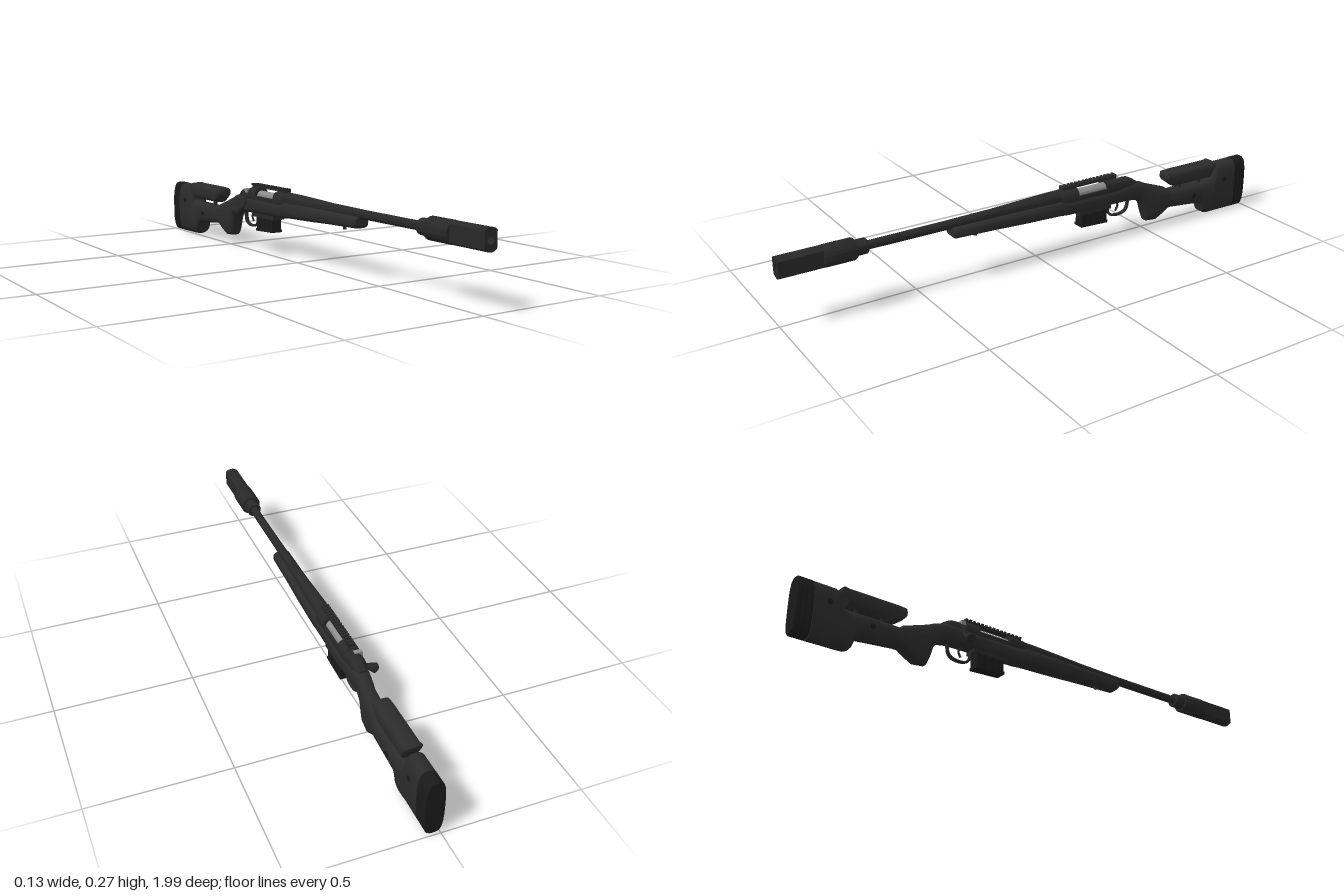
import * as THREE from 'three';
import { toCreasedNormals } from 'three/addons/utils/BufferGeometryUtils.js';

const material = (name, color) => {
  const m = new THREE.MeshStandardMaterial({ color });
  m.name = name;
  return m;
};

// Skin through rounded cross-sections: [z, bottom, top, halfWidth], listed front to back
function loft(stations, power = 3, sides = 28) {
  const pos = [], index = [];
  const bend = v => Math.sign(v) * Math.pow(Math.abs(v), 2 / power);
  for (const [z, lo, hi, hw] of stations) {
    for (let j = 0; j < sides; j++) {
      const a = (j / sides) * Math.PI * 2;
      pos.push(hw * bend(Math.cos(a)), (lo + hi) / 2 + (hi - lo) / 2 * bend(Math.sin(a)), z);
    }
  }
  const rows = stations.length;
  for (let i = 0; i < rows - 1; i++) {
    for (let j = 0; j < sides; j++) {
      const k = (j + 1) % sides;
      const a = i * sides + j, b = i * sides + k, c = a + sides, d = b + sides;
      index.push(a, c, b, b, c, d);
    }
  }
  const last = (rows - 1) * sides;
  for (let j = 1; j < sides - 1; j++) {
    index.push(0, j, j + 1, last, last + j + 1, last + j);
  }
  const g = new THREE.BufferGeometry();
  g.setAttribute('position', new THREE.Float32BufferAttribute(pos, 3));
  g.setIndex(index);
  return toCreasedNormals(g, 0.7);
}

// Turned part along z: [radius, z] pairs, listed back to front
function turned(profile, sides = 28) {
  const g = new THREE.LatheGeometry(profile.map(([r, z]) => new THREE.Vector2(r, z)), sides);
  return toCreasedNormals(g.rotateX(Math.PI / 2), 0.6);
}

function tube(points, radius) {
  const curve = new THREE.CatmullRomCurve3(points.map(p => new THREE.Vector3(...p)));
  return new THREE.TubeGeometry(curve, 32, radius, 8);
}

export function createModel() {
  const polymer = material('stock polymer', 0x2b2b2b);
  const metal = material('dark metal', 0x282828);
  const black = material('black', 0x1a1a1a);
  const steel = material('bolt steel', 0x8c8c8c);

  const model = new THREE.Group();
  const body = new THREE.Group();
  body.name = 'body';
  body.position.x = 0.023;
  model.add(body);
  const add = (name, geometry, mat, x = 0, y = 0, z = 0) => {
    const m = new THREE.Mesh(geometry, mat);
    m.name = name;
    m.position.set(x, y, z);
    body.add(m);
    return m;
  };
  const box = (name, w, h, d, mat, x, y, z) => add(name, new THREE.BoxGeometry(w, h, d), mat, x, y, z);
  const axis = 0.228;

  // Stock: fore-end, action bed, wrist, grip and butt
  add('stock', loft([
    [0.37, 0.186, 0.216, 0.027], [0.362, 0.178, 0.221, 0.033], [0.2, 0.172, 0.221, 0.035],
    [0.08, 0.166, 0.222, 0.038], [-0.08, 0.16, 0.222, 0.039], [-0.11, 0.155, 0.215, 0.035],
    [-0.3, 0.152, 0.213, 0.035], [-0.38, 0.15, 0.218, 0.034], [-0.42, 0.146, 0.221, 0.031],
    [-0.455, 0.136, 0.212, 0.028], [-0.475, 0.11, 0.206, 0.027], [-0.487, 0.065, 0.2, 0.027],
    [-0.497, 0.04, 0.195, 0.028], [-0.54, 0.036, 0.179, 0.032], [-0.568, 0.053, 0.168, 0.034],
    [-0.595, 0.073, 0.158, 0.035], [-0.612, 0.075, 0.144, 0.035], [-0.76, 0.059, 0.146, 0.035],
    [-0.772, 0.052, 0.146, 0.035], [-0.785, 0.014, 0.146, 0.036], [-0.8, 0.006, 0.147, 0.036],
    [-0.825, 0.005, 0.15, 0.036], [-0.845, 0.004, 0.208, 0.036], [-0.855, 0.004, 0.213, 0.036],
    [-0.935, 0.003, 0.214, 0.036],
  ], 3.2), polymer);

  // Butt pad made of stacked layers
  for (let i = 0; i < 3; i++) {
    const z = -0.935 - i * 0.018;
    add('buttPadSeam', loft([[z, 0.008, 0.21, 0.033], [z - 0.004, 0.008, 0.21, 0.033]], 3.2), black);
    add('buttPadLayer', loft([
      [z - 0.004, 0.003, 0.215, 0.036], [z - 0.018, 0.003, 0.215, 0.036],
      [z - 0.0225, 0.007, 0.211, 0.033],
    ], 3.2), black);
  }

  // Raised cheek rest on two posts
  add('cheekRest', loft([
    [-0.586, 0.192, 0.217, 0.022], [-0.592, 0.186, 0.224, 0.029], [-0.625, 0.161, 0.226, 0.033],
    [-0.81, 0.161, 0.226, 0.033], [-0.828, 0.2, 0.226, 0.033], [-0.835, 0.21, 0.22, 0.028],
  ], 3.4), polymer);
  for (const z of [-0.67, -0.77]) {
    const post = add('cheekPost', new THREE.CylinderGeometry(0.008, 0.008, 0.05, 16), metal, 0, 0.155, z);
    post.scale.z = 1.2;
  }

  // Adjustment screws on both sides
  for (const side of [-1, 1]) {
    for (const [y, z] of [[0.105, -0.72], [0.145, -0.88]]) {
      const screw = add('stockScrew', new THREE.CylinderGeometry(0.01, 0.01, 0.004, 20), black, side * 0.0365, y, z);
      screw.rotation.z = Math.PI / 2;
    }
  }

  // Barrel
  add('barrel', turned([
    [0, -0.12], [0.027, -0.12], [0.027, -0.04], [0.024, 0.06], [0.019, 0.2], [0.0165, 0.4], [0.0155, 0.72], [0, 0.72],
  ]), metal, 0, axis, 0);

  // Muzzle device: collar, round sleeve, then a front section with flat sides
  add('muzzleCollar', turned([
    [0, 0.686], [0.025, 0.686], [0.028, 0.69], [0.028, 0.725], [0.031, 0.735], [0, 0.735],
  ], 20), metal, 0, axis, 0);
  add('muzzleSleeve', turned([
    [0, 0.73], [0.036, 0.73], [0.039, 0.736], [0.039, 0.838], [0.037, 0.845], [0, 0.845],
  ], 36), metal, 0, axis, 0);
  const radius = 0.038, cut = Math.acos(0.025 / radius);
  const outline = new THREE.Shape();
  outline.absarc(0, 0, radius, cut, Math.PI - cut, false);
  outline.absarc(0, 0, radius, Math.PI + cut, Math.PI * 2 - cut, false);
  outline.closePath();
  outline.holes.push(new THREE.Path().absarc(0, 0, 0.014, 0, Math.PI * 2, true));
  add('muzzleBrake', toCreasedNormals(new THREE.ExtrudeGeometry(outline, {
    depth: 0.16, bevelEnabled: false, curveSegments: 16,
  }), 0.5), metal, 0, axis, 0.84);
  add('boreBack', new THREE.CircleGeometry(0.0145, 20), black, 0, axis, 0.95);

  // Receiver: front ring, lower body, rear bridge and tang
  add('receiverRing', loft([
    [-0.085, 0.19, 0.251, 0.029], [-0.09, 0.188, 0.254, 0.031], [-0.16, 0.188, 0.254, 0.031],
  ], 2.6), metal);
  box('receiverBody', 0.058, 0.045, 0.15, metal, 0, 0.201, -0.23);
  add('receiverBridge', loft([
    [-0.292, 0.188, 0.254, 0.031], [-0.345, 0.188, 0.253, 0.031], [-0.35, 0.188, 0.245, 0.029],
    [-0.405, 0.188, 0.242, 0.026], [-0.42, 0.19, 0.235, 0.022], [-0.44, 0.19, 0.222, 0.015],
  ], 2.6), metal);

  // Bolt with its handle and flared knob
  add('bolt', turned([[0, -0.34], [0.02, -0.34], [0.02, -0.15], [0, -0.15]]), steel, 0, 0.223, 0);
  box('boltRoot', 0.03, 0.016, 0.018, steel, -0.015, 0.238, -0.362);
  add('boltHandle', tube([[-0.018, 0.232, -0.362], [-0.032, 0.205, -0.362], [-0.045, 0.178, -0.362], [-0.06, 0.169, -0.362]], 0.0075), metal);
  const knob = add('boltKnob', new THREE.LatheGeometry([
    [0, -0.022], [0.013, -0.022], [0.0185, -0.016], [0.0175, -0.01], [0.009, 0.022], [0, 0.022],
  ].map(p => new THREE.Vector2(...p)), 20), metal, -0.068, 0.163, -0.362);
  knob.rotation.z = -1.05;

  // Slotted top rail
  box('railBase', 0.024, 0.008, 0.245, metal, 0, 0.259, -0.22);
  for (let i = 0; i < 15; i++) {
    box('railTooth', 0.028, 0.007, 0.009, metal, 0, 0.2645, -0.102 - i * 0.0169);
  }
  box('railFrontFoot', 0.022, 0.014, 0.055, metal, 0, 0.251, -0.128);
  box('railRearFoot', 0.022, 0.014, 0.045, metal, 0, 0.251, -0.318);

  // Magazine with a rim, side ribs and floor plate
  box('magazineWell', 0.05, 0.02, 0.145, metal, 0, 0.151, -0.24);
  const mag = box('magazine', 0.04, 0.07, 0.116, black, 0, 0.127, -0.239);
  mag.rotation.x = -0.05;
  const floorPlate = box('magazineFloor', 0.044, 0.01, 0.122, black, 0, 0.093, -0.238);
  floorPlate.rotation.x = -0.05;
  for (const side of [-1, 1]) {
    for (const z of [-0.21, -0.24, -0.27]) box('magazineRib', 0.004, 0.04, 0.012, black, side * 0.021, 0.12, z);
  }

  // Trigger guard and trigger
  const guard = add('triggerGuard', tube([
    [0, 0.155, -0.312], [0, 0.115, -0.317], [0, 0.1, -0.335], [0, 0.098, -0.38], [0, 0.112, -0.403], [0, 0.155, -0.412],
  ], 0.005), metal);
  guard.scale.x = 1.8;
  add('trigger', tube([[0, 0.155, -0.35], [0, 0.135, -0.362], [0, 0.113, -0.352]], 0.004), metal);

  // Sling stud under the fore-end
  add('slingStud', new THREE.CylinderGeometry(0.006, 0.006, 0.014, 12), metal, 0, 0.17, 0.27);

  return model;
}
